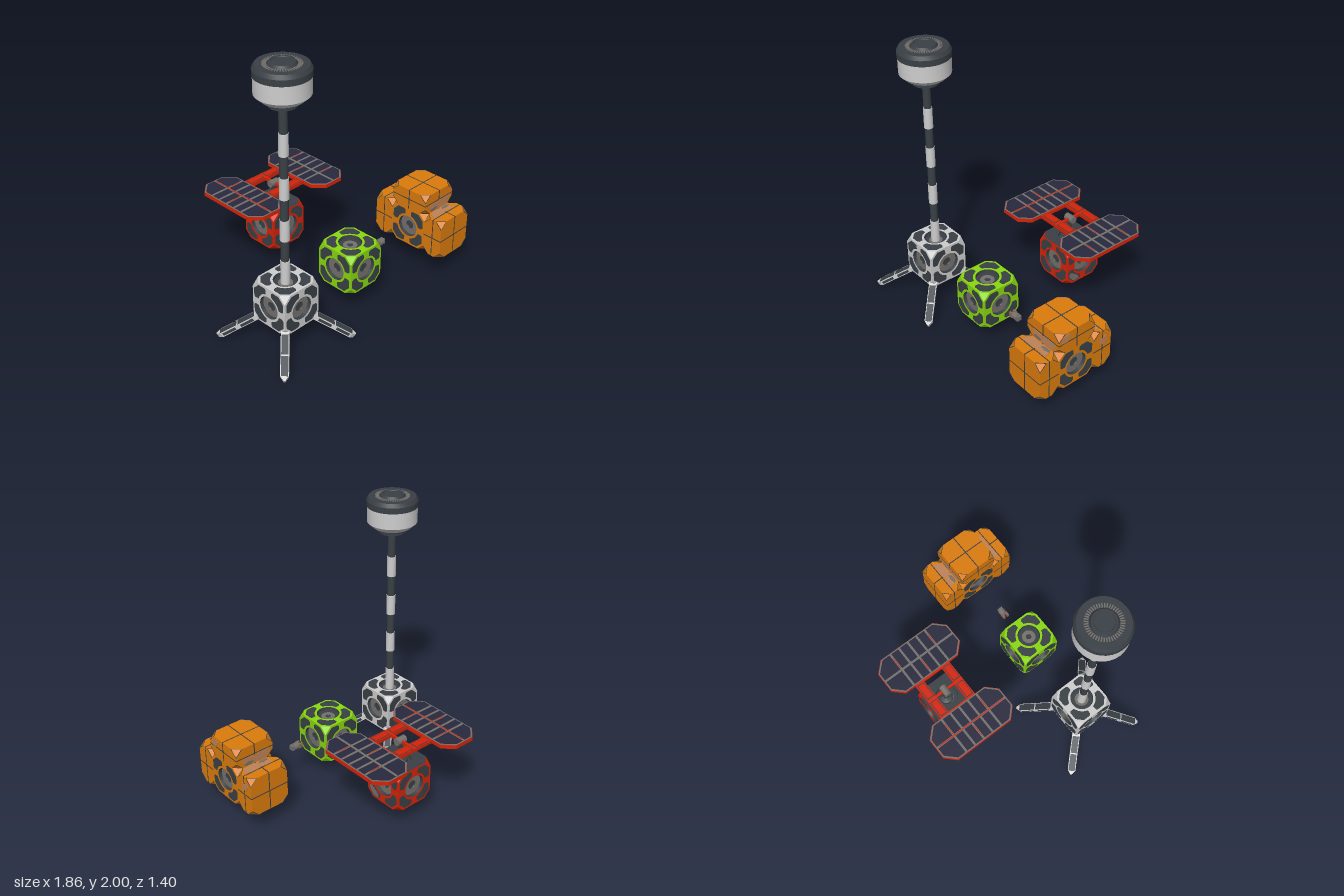
import * as THREE from 'three';
import { toCreasedNormals } from 'three/addons/utils/BufferGeometryUtils.js';
import { ConvexGeometry } from 'three/addons/geometries/ConvexGeometry.js';

const mat = (name, color) => {
  const m = new THREE.MeshStandardMaterial({ color });
  m.name = name;
  return m;
};
const M = {
  white: mat('paleGrey', 0xcecece), dark: mat('charcoal', 0x394045), green: mat('limeGreen', 0x88d80e),
  red: mat('red', 0xd82206), orange: mat('orange', 0xdb7b0c), navy: mat('navy', 0x29293f),
  grey: mat('warmGrey', 0x74706c), tan: mat('wornTan', 0xbf8258), brown: mat('rustBrown', 0x8a6654),
};
const H = 0.15, CUT = 0.05; // cube half size and corner cut

function add(parent, name, geo, material, x = 0, y = 0, z = 0) {
  const m = new THREE.Mesh(geo, material);
  m.name = name;
  m.position.set(x, y, z);
  parent.add(m);
  return m;
}
function group(parent, name, x = 0, y = 0, z = 0) {
  const g = new THREE.Group();
  g.name = name;
  g.position.set(x, y, z);
  parent.add(g);
  return g;
}
const box = (w, h, d) => new THREE.BoxGeometry(w, h, d);
const shape = pts => new THREE.Shape(pts.map(p => new THREE.Vector2(p[0], p[1])));
const lathe = (pts, n = 32) => toCreasedNormals(
  new THREE.LatheGeometry(pts.map(p => new THREE.Vector2(p[0], p[1])), n), 0.5);
const octagon = (a, b, c) => [[a, b - c], [a - c, b], [c - a, b], [-a, b - c], [-a, c - b], [c - a, -b], [a - c, -b], [a, c - b]];
const slab = (pts, depth) => new THREE.ExtrudeGeometry(shape(pts), { depth, bevelEnabled: false });
const SIGNS = [-1, 1];

// The three points of a cut box corner
const cornerPoints = (h, c, sx, sy, sz) => [[c, 0, 0], [0, c, 0], [0, 0, c]].map(d =>
  new THREE.Vector3(sx * (h[0] - d[0]), sy * (h[1] - d[1]), sz * (h[2] - d[2])));
function eachCorner(fn) {
  for (const x of SIGNS) for (const y of SIGNS) for (const z of SIGNS) fn(x, y, z);
}

// Corner panel of a cube face, hollowed around the port
function quadrantPanel() {
  const pts = [[0.096, 0.026], [0.125, 0.026], [0.135, 0.037], [0.135, 0.092], [0.092, 0.135], [0.037, 0.135], [0.026, 0.125], [0.026, 0.096]];
  for (let i = 1; i < 8; i++) {
    const a = Math.PI / 2 - 0.26 - i / 8 * (Math.PI / 2 - 0.52);
    pts.push([0.099 * Math.cos(a), 0.099 * Math.sin(a)]);
  }
  return slab(pts, 0.003);
}

// Module cube: cut corners, panelled faces with recessed ports, plain underside
function cube(parent, name, frame, x, z, topFrame = frame) {
  const g = group(parent, name, x, 0.32, z);
  const tri = [];
  eachCorner((sx, sy, sz) => {
    const p = cornerPoints([H, H, H], CUT, sx, sy, sz);
    if (sx * sy * sz < 0) p.reverse();
    p.forEach(v => tri.push(v.x, v.y, v.z));
  });
  const corners = new THREE.BufferGeometry();
  corners.setAttribute('position', new THREE.Float32BufferAttribute(tri, 3));
  corners.computeVertexNormals();
  add(g, 'cutCorners', corners, frame);
  const panel = quadrantPanel();
  const turns = [[0, 0], [0, Math.PI], [0, Math.PI / 2], [0, -Math.PI / 2], [-Math.PI / 2, 0], [Math.PI / 2, 0]];
  turns.forEach(([rx, ry], i) => {
    const top = i === 4, bottom = i === 5;
    const f = group(g, 'face');
    f.rotation.set(rx, ry, 0);
    const s = shape(octagon(H, H, CUT));
    if (!bottom) s.holes.push(new THREE.Path().absarc(0, 0, 0.082, 0, Math.PI * 2, true));
    add(f, 'faceFrame', new THREE.ShapeGeometry(s, 32), top ? topFrame : frame, 0, 0, H);
    if (bottom) return;
    for (let k = 0; k < 4; k++) add(f, 'cornerPanel', panel, M.dark, 0, 0, H - 0.001).rotation.z = k * Math.PI / 2;
    const port = group(f, 'port', 0, 0, H);
    port.rotation.x = Math.PI / 2;
    // The top port has a wide dark rim and a small grey plug
    const rim = top ? 0.05 : 0.078, core = top ? 0.02 : 0.032;
    add(port, 'portWall', lathe([[0.083, 0], [0.079, -0.024], [rim, -0.024]]), M.dark);
    add(port, 'portRing', lathe([[rim, -0.024], [core, -0.024]]), M.grey);
    add(port, 'portCentre', lathe([[core, -0.024], [core - 0.004, -0.03], [0, -0.03]]), M.dark);
  });
  return g;
}

// Thin rod between two points
function rod(parent, name, a, b, t, material) {
  const m = add(parent, name, box(t, t, a.distanceTo(b)), material);
  m.position.copy(a).add(b).multiplyScalar(0.5);
  m.quaternion.setFromUnitVectors(new THREE.Vector3(0, 0, 1), b.clone().sub(a).normalize());
}

// Tank with cut corners, seams and worn paint; +z points away from the cube
function tank(parent) {
  const g = group(parent, 'tank');
  const h = [H, H, 0.076], pts = [];
  eachCorner((x, y, z) => {
    const c = cornerPoints(h, CUT, x, y, z);
    pts.push(...c);
    c.forEach((p, i) => rod(g, 'cornerSeam', p, c[(i + 1) % 3], 0.003, M.dark));
  });
  add(g, 'tankBody', new ConvexGeometry(pts), M.orange);
  const w = H * 2 + 0.003, d = 0.154;
  add(g, 'verticalSeam', box(0.007, w, d), M.dark);
  add(g, 'crossSeam', box(w, 0.007, d), M.dark);
  add(g, 'middleSeam', box(w, w, 0.006), M.dark);
  // Paint worn to undercoat along the edge nearest the cube
  const patch = slab([[-0.09, -0.055], [-0.04, -0.07], [0.09, -0.07], [0.12, -0.03], [0.12, -0.005], [0.03, -0.004], [-0.02, -0.014], [-0.08, -0.004], [-0.1, -0.02]], 0.002);
  const chip = slab([[-0.08, -0.068], [-0.03, -0.068], [-0.01, -0.05], [-0.05, -0.04], [-0.09, -0.05]], 0.003);
  for (const s of SIGNS) {
    const side = group(g, 'wornSide');
    side.rotation.set(-Math.PI / 2 * s, 0, s > 0 ? Math.PI : 0);
    add(side, 'wornPatch', patch, M.tan, 0, 0, H);
    add(side, 'bareChip', chip, M.grey, 0, 0, H);
  }
  return g;
}

// One solar wing with a red tray, grey border and navy cells
function wing(parent, x, redLine) {
  const w = group(parent, 'solarWing', x, 0.618, -0.396);
  const tray = add(w, 'wingTray', slab(octagon(0.152, 0.305, 0.075), 0.028), M.red, 0, -0.014, 0);
  const border = add(w, 'wingBorder', slab(octagon(0.15, 0.303, 0.075), 0.004), M.grey, 0, 0.012, 0);
  const cells = add(w, 'solarCells', slab(octagon(0.141, 0.294, 0.072), 0.003), M.navy, 0, 0.015, 0);
  for (const m of [tray, border, cells]) m.rotation.x = -Math.PI / 2;
  add(w, 'lengthLine', box(0.016, 0.004, 0.59), M.grey, 0, 0.018, 0);
  if (redLine) add(w, 'redLine', box(0.007, 0.004, 0.56), M.red, 0, 0.0195, 0);
  for (let i = -2; i <= 2; i++) {
    add(w, 'crossLine', box(0.284, 0.004, 0.016), M.grey, 0, 0.018, i * 0.076);
    if (i % 2 === 0) add(w, 'redLine', box(0.09, 0.004, 0.005), M.red, i ? 0.06 : -0.07, 0.0195, i * 0.076);
  }
}

export function createModel() {
  const root = new THREE.Group();
  root.name = 'modularStation';

  // Mast module
  const mast = group(root, 'mastModule', -0.6, 0, 0.365);
  const mastCube = cube(mast, 'mastCube', M.white, 0, 0);
  const panel = quadrantPanel();
  for (let k = 0; k < 4; k++) {
    const holder = group(mastCube, 'undersidePanel');
    holder.rotation.set(Math.PI / 2, 0, k * Math.PI / 2);
    add(holder, 'cornerPanel', panel, M.dark, 0, 0, H - 0.001);
  }
  for (let i = 0; i < 8; i++) {
    const y0 = 0.44 + (i ? 0.03 + i * 0.152 : 0), y1 = i === 7 ? 1.73 : 0.47 + (i + 1) * 0.152;
    const r = i % 2 ? 0.028 : 0.032;
    add(mast, 'poleSection', toCreasedNormals(new THREE.CylinderGeometry(r, r, y1 - y0, 16), 0.5),
      i % 2 ? M.dark : M.white, 0, (y0 + y1) / 2, 0);
  }
  add(mast, 'headBase', lathe([[0, 1.72], [0.092, 1.72], [0.092, 1.74], [0.105, 1.745], [0.11, 1.762], [0.138, 1.764]]), M.dark);
  add(mast, 'headBand', lathe([[0.1, 1.762], [0.135, 1.762], [0.176, 1.8], [0.176, 1.915]]), M.white);
  add(mast, 'headCap', lathe([[0.17, 1.913], [0.18, 1.915], [0.18, 1.957], [0.165, 1.983], [0.09, 1.983], [0.08, 2], [0.066, 2], [0.063, 1.994], [0, 1.994]]), M.dark);
  for (let i = 0; i < 44; i++) {
    const tick = group(mast, 'capTick', 0, 1.984, 0);
    tick.rotation.y = i / 44 * Math.PI * 2;
    add(tick, 'tickPlate', box(0.028, 0.004, 0.008), M.grey, 0.107, 0, 0);
  }

  // Four splayed legs with pointed feet, nearly all dark on top
  const legShape = [[0, -0.028], [0.31, -0.028], [0.342, -0.006], [0.342, 0.006], [0.31, 0.028], [0, 0.028]];
  for (let k = 0; k < 4; k++) {
    const yaw = group(mast, 'leg');
    yaw.rotation.y = Math.PI / 4 + k * Math.PI / 2;
    const leg = group(yaw, 'legBar', 0.165, 0.197, 0);
    leg.rotation.z = -0.56;
    add(leg, 'legFrame', slab(legShape, 0.034), M.white, 0, -0.017, 0).rotation.x = -Math.PI / 2;
    for (const x of [0.108, 0.248]) {
      add(leg, 'legTopPanel', box(0.13, 0.004, 0.046), M.dark, x, 0.0165, 0);
      add(leg, 'legUnderPanel', box(0.11, 0.004, 0.038), M.dark, x, -0.0165, 0);
      add(leg, 'legSidePanel', box(0.1, 0.02, 0.059), M.dark, x, 0, 0);
    }
  }

  // Green module and its loose coupling
  cube(root, 'greenCube', M.green, 0.009, 0.365);
  const coupling = group(root, 'coupling', 0.323, 0.32, 0.365);
  const barrel = toCreasedNormals(new THREE.CylinderGeometry(0.026, 0.026, 0.042, 12), 0.5).rotateZ(Math.PI / 2);
  add(coupling, 'couplingBarrel', barrel, M.grey, -0.006, 0, 0);
  add(coupling, 'couplingPin', box(0.02, 0.036, 0.036), M.grey, 0.022, 0, 0);
  for (const s of SIGNS) add(coupling, 'couplingProng', box(0.03, 0.036, 0.015), M.brown, -0.037, 0, s * 0.016);

  // Solar module
  const solar = group(root, 'solarModule');
  const redCube = cube(solar, 'redCube', M.red, 0.008, -0.392, M.dark);
  const wornFace = group(redCube, 'wornFace');
  wornFace.rotation.y = Math.PI / 2;
  add(wornFace, 'bareChip', slab([[-0.13, -0.085], [-0.09, -0.13], [-0.04, -0.13], [-0.045, -0.1], [-0.085, -0.07], [-0.125, -0.05]], 0.004), M.grey, 0, 0, H - 0.001);
  add(solar, 'stand', lathe([[0.05, 0.44], [0.05, 0.473], [0.02, 0.485], [0.014, 0.495], [0.014, 0.58], [0.024, 0.59], [0.024, 0.612], [0, 0.612]], 16), M.dark, 0.008, 0, -0.396);
  add(solar, 'hub', toCreasedNormals(new THREE.CylinderGeometry(0.027, 0.027, 0.075, 16), 0.5).rotateZ(Math.PI / 2), M.grey, 0.008, 0.62, -0.396);
  wing(solar, -0.293, true);
  wing(solar, 0.316, false);
  add(solar, 'frameSpine', box(0.016, 0.024, 0.25), M.red, 0.011, 0.618, -0.396);
  for (const s of SIGNS) {
    add(solar, 'frameSide', box(0.014, 0.024, 0.3), M.red, 0.011 + s * 0.15, 0.618, -0.396);
    const bar = group(solar, 'frameBar', 0.011, 0.618, -0.396 + s * 0.114);
    add(bar, 'barBody', box(0.31, 0.024, 0.07), M.red);
    for (const t of SIGNS) {
      add(bar, 'barGroove', box(0.126, 0.003, 0.056), M.dark, t * 0.077, 0.012, 0);
      add(bar, 'barPlate', box(0.114, 0.004, 0.046), M.red, t * 0.077, 0.013, 0);
    }
  }

  // Tank module: three tanks around a cube
  const tanks = cube(root, 'tankCube', M.orange, 0.77, 0.367);
  const turns = [['frontTank', 0, 0], ['backTank', 0, Math.PI], ['topTank', -Math.PI / 2, 0]];
  for (const [name, rx, ry] of turns) {
    const holder = group(tanks, name);
    holder.rotation.set(rx, ry, 0);
    tank(holder).position.z = H + 0.076;
  }
  // Chipped paint on the outer flank
  const flank = group(tanks, 'wornFlank');
  flank.rotation.y = Math.PI / 2;
  const scrape = slab([[-0.035, -0.03], [0.01, -0.035], [0.035, 0.01], [0.02, 0.035], [-0.01, 0.015], [-0.03, 0.02]], 0.003);
  for (const [x, y] of [[-0.09, 0.262], [0.235, 0.07]]) add(flank, 'scrape', scrape, M.tan, x, y, H);
  return root;
}
